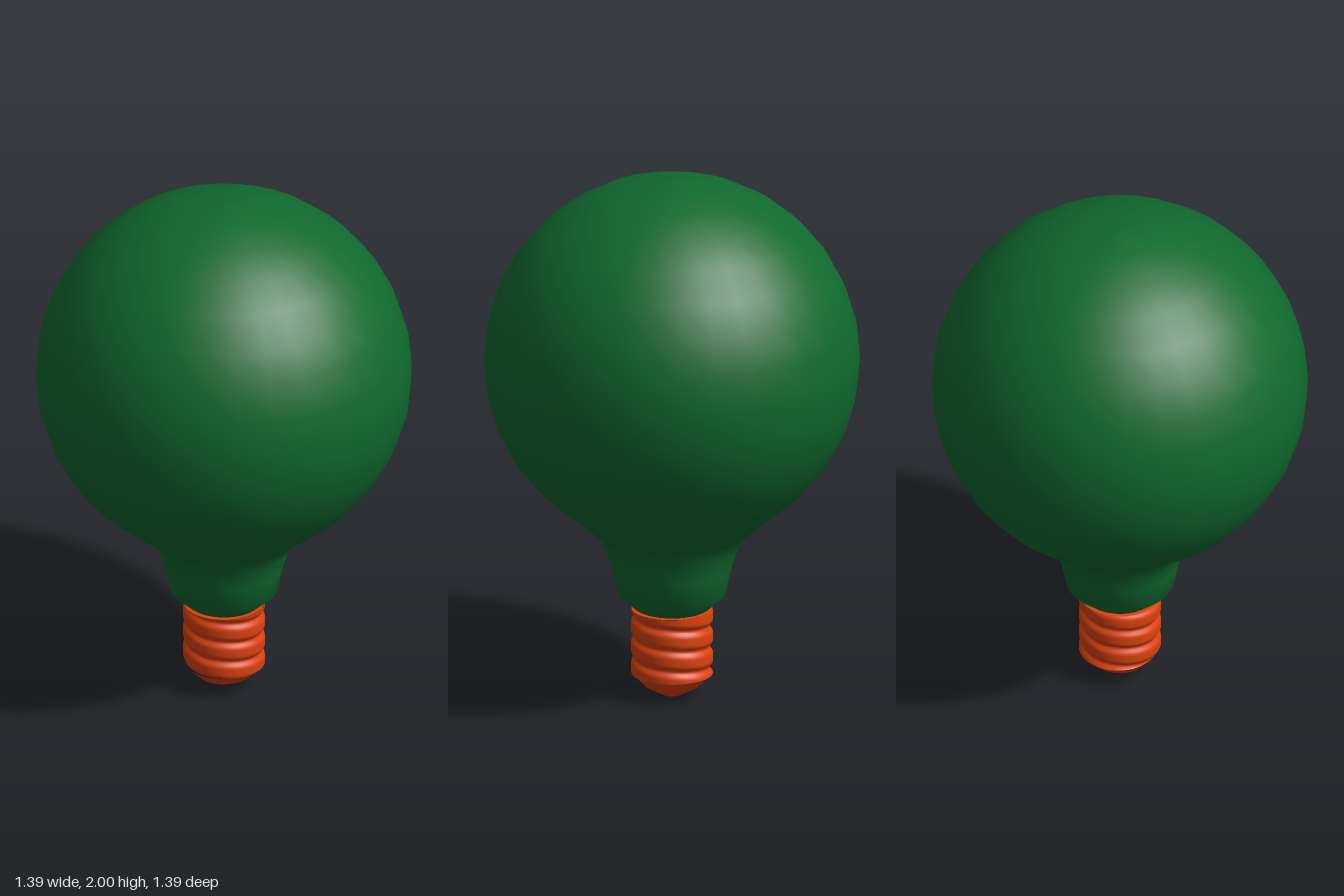
import * as THREE from 'three';
import { mergeVertices } from 'three/addons/utils/BufferGeometryUtils.js';

const green = new THREE.MeshStandardMaterial({ name: 'green glass', color: 0x10692f });
const orange = new THREE.MeshStandardMaterial({ name: 'orange metal', color: 0xdc420e });

function lathe(name, points, segments, material) {
  const profile = points.map(([r, y]) => new THREE.Vector2(r, y));
  const mesh = new THREE.Mesh(new THREE.LatheGeometry(profile, segments), material);
  mesh.name = name;
  return mesh;
}

// Wall of the screw: rows follow a helix that drops one pitch per turn
function threadGeometry(radius, bottom, top, pitch, depth) {
  const step = pitch / 12;
  const profile = [];
  for (let y = bottom - step; y <= top + pitch + step; y += step) profile.push(new THREE.Vector2(radius, y));
  const segments = 48;
  const geometry = new THREE.LatheGeometry(profile, segments);
  const pos = geometry.attributes.position;
  for (let i = 0; i < pos.count; i++) {
    const turn = Math.floor(i / profile.length) / segments;
    const y = THREE.MathUtils.clamp(pos.getY(i) - pitch * turn, bottom, top);
    // Broad rounded ridges with narrow grooves between them
    const phase = (y - 0.15) / pitch + turn;
    const groove = Math.pow(Math.abs(Math.cos(Math.PI * phase)), 7);
    const r = radius - depth * groove;
    const a = turn * Math.PI * 2;
    pos.setXYZ(i, r * Math.sin(a), y, r * Math.cos(a));
  }
  geometry.deleteAttribute('uv');
  geometry.deleteAttribute('normal');
  const merged = mergeVertices(geometry, 1e-5);
  merged.computeVertexNormals();
  return merged;
}

export function createModel() {
  const group = new THREE.Group();
  group.name = 'lightBulb';

  // Glass: flared neck running into a spherical globe
  const glass = [[0.12, 0.335], [0.14, 0.345], [0.2, 0.4], [0.22, 0.5], [0.245, 0.58], [0.28, 0.635], [0.38, 0.72]];
  for (let i = 4; i <= 16; i++) {
    const a = (i * Math.PI) / 16;
    glass.push([0.695 * Math.sin(a), 1.305 - 0.695 * Math.cos(a)]);
  }
  glass[glass.length - 1][0] = 0;
  group.add(lathe('glassGlobe', glass, 32, green));

  // Screw base
  const thread = new THREE.Mesh(threadGeometry(0.152, 0.09, 0.34, 0.08, 0.014), orange);
  thread.name = 'screwThread';
  group.add(thread);
  group.add(lathe('screwTop', [[0.15, 0.34], [0, 0.34]], 48, orange));

  // Rounded contact at the foot
  group.add(lathe('contactTip', [[0, 0], [0.03, 0.004], [0.1, 0.042], [0.15, 0.092]], 32, orange));
  return group;
}
